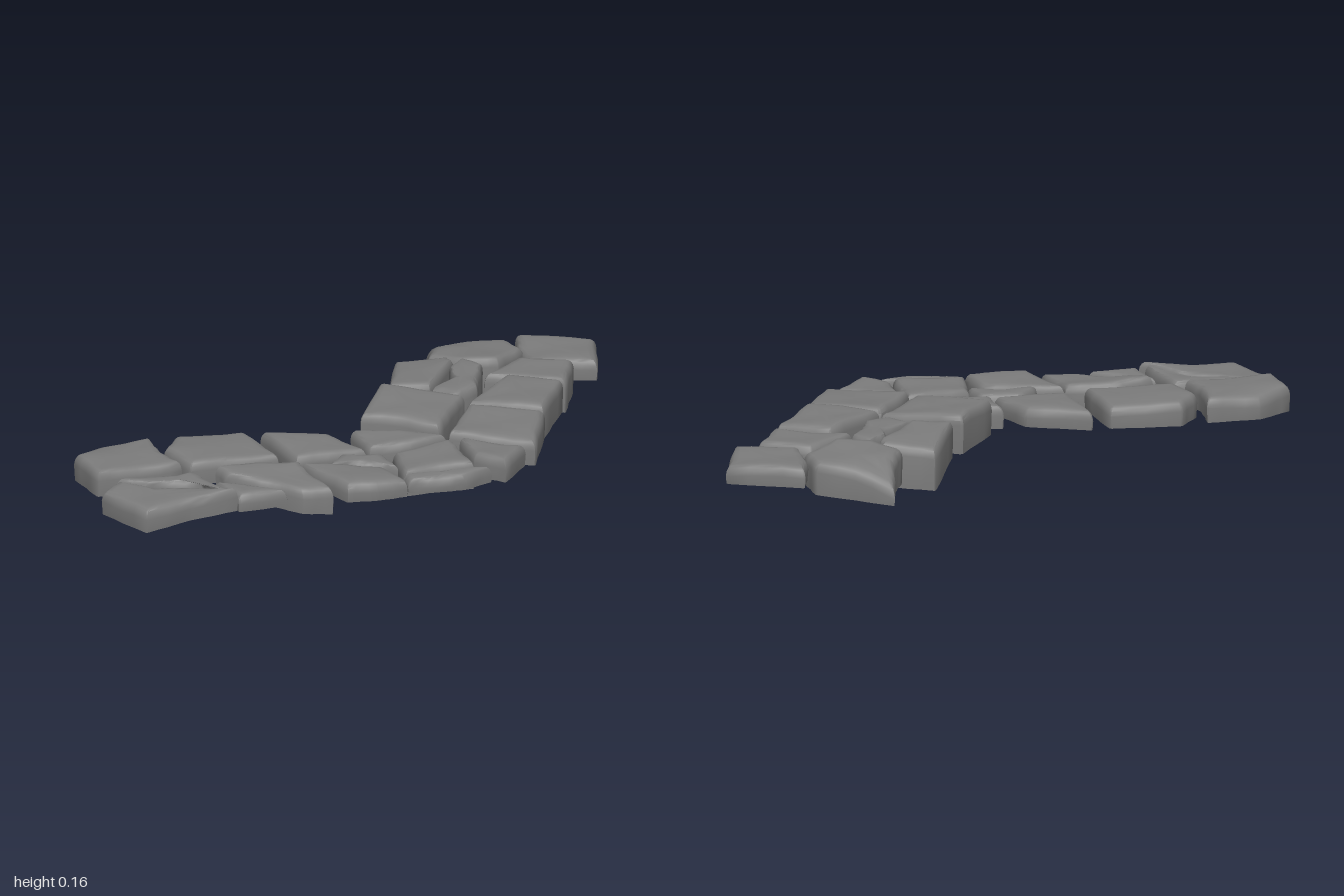
import * as THREE from 'three';
import { toCreasedNormals } from 'three/addons/utils/BufferGeometryUtils.js';

// Plan coordinates are laid out on a fine grid, GRID cells per unit.
const GRID = 187, MID_X = 1134.5, MID_Z = 224;

// Gentle worn unevenness of the upper faces
const bump = (x, z) => 0.003 * Math.sin(17 * x + 5 * z) + 0.002 * Math.sin(31 * z - 12 * x + 1);

// Outline with lightly clipped corners and slightly wavy edges
function outline(plan) {
  const corners = [];
  for (let i = 0; i < plan.length; i += 2) {
    corners.push(new THREE.Vector2((plan[i] - MID_X) / GRID, (plan[i + 1] - MID_Z) / GRID));
  }
  const points = [];
  corners.forEach((a, i) => {
    const b = corners[(i + 1) % corners.length];
    const d = b.clone().sub(a);
    const n = new THREE.Vector2(d.y, -d.x).normalize();
    for (const t of [0.025, 0.28, 0.5, 0.72, 0.975]) {
      const wave = 0.002 * Math.sin(Math.PI * t) * Math.sin(40 * a.x + 9 * t);
      points.push(a.clone().addScaledVector(d, t).addScaledVector(n, wave));
    }
  });
  return points;
}

// Area centroid of the outline
function centroid(points) {
  const c = new THREE.Vector2();
  let area = 0;
  points.forEach((p, i) => {
    const q = points[(i + 1) % points.length], w = p.x * q.y - q.x * p.y;
    area += w;
    c.addScaledVector(p.clone().add(q), w / 3);
  });
  return c.divideScalar(area);
}

// Hollow slab: upright walls, rounded shoulder, worn top, open underneath
function slabGeometry(plan, top, bottom, [topX, topZ, bottomX, bottomZ]) {
  const points = outline(plan), c = centroid(points), n = points.length;
  const topAt = (x, z) => top + bump(x, z) + topX * (x - c.x) + topZ * (z - c.y)
    - 2.3 * Math.max(0, -z - 0.34) ** 2;
  const bottomAt = (x, z) => bottom + bottomX * (x - c.x) + bottomZ * (z - c.y);
  // Each ring: inset from the outline, drop below the top (null = bottom rim)
  const rings = [[0, null], [-0.003, 0.032], [0, 0.018], [0.006, 0.008], [0.014, 0.002], [0.03, 0], [0.07, 0]];
  const pos = [], index = [];
  for (const [inset, drop] of rings) {
    for (const p of points) {
      const k = 1 - Math.min(inset / p.distanceTo(c), 0.6);
      const x = c.x + (p.x - c.x) * k, z = c.y + (p.y - c.y) * k, low = bottomAt(x, z);
      pos.push(x, drop === null ? low : Math.max(low + 0.004, topAt(x, z) - drop), z);
    }
  }
  pos.push(c.x, topAt(c.x, c.y), c.y);
  for (let r = 0; r < rings.length - 1; r++) {
    for (let i = 0; i < n; i++) {
      const j = (i + 1) % n, a = r * n, b = a + n;
      index.push(a + j, a + i, b + i, a + j, b + i, b + j);
    }
  }
  const last = (rings.length - 1) * n;
  for (let i = 0; i < n; i++) index.push(last + (i + 1) % n, last + i, rings.length * n);
  const g = new THREE.BufferGeometry();
  g.setAttribute('position', new THREE.Float32BufferAttribute(pos, 3));
  g.setIndex(index);
  return toCreasedNormals(g, 0.75);
}

export function createModel() {
  const path = new THREE.Group();
  path.name = 'stonePath';
  const material = new THREE.MeshStandardMaterial({ color: 0x7c7c7c, side: THREE.DoubleSide });

  // tilt: slope of the top along x and z, then of the underside along x and z
  const stone = (name, top, bottom, plan, tilt = [0, 0, 0, 0]) => {
    const mesh = new THREE.Mesh(slabGeometry(plan, top, bottom, tilt), material);
    mesh.name = name;
    path.add(mesh);
  };

  // Right arm, back row
  stone('rightBackStone1', 0.14, 0.06, [966, 155, 990, 149, 1019, 159, 1008, 182, 1005, 202, 981, 193, 957, 185]);
  stone('rightBackStone2', 0.13, 0.055, [1015, 176, 1033, 164, 1070, 182, 1058, 225, 1030, 212, 1011, 203]);
  stone('rightBackStone3', 0.115, 0.055, [1080, 184, 1107, 212, 1106, 245, 1085, 237, 1067, 229]);

  // Right arm, front row
  stone('rightEndStone', 0.112, 0.042, [949, 198, 965, 192, 974, 212, 983, 220, 991, 232, 995, 243, 1002, 253, 975, 243, 947, 238],
    [0.08, 0, 0.08, 0]);
  stone('rightSplitStone', 0.118, 0.05, [965, 192, 985, 202, 1007, 211, 1003, 230, 1000, 250, 997, 239, 998, 228, 986, 215, 974, 206]);
  stone('rightSmallStone', 0.108, 0.055, [1007, 228, 1017, 238, 1029, 265, 1002, 255]);
  stone('rightFrontStone1', 0.118, 0.032, [1016, 219, 1040, 224, 1062, 238, 1057, 255, 1052, 278, 1037, 269, 1030, 253, 1022, 238, 1015, 229],
    [0, -0.1, -0.06, -0.06]);
  stone('rightFrontStone2', 0.113, 0.055, [1062, 239, 1080, 254, 1096, 272, 1090, 298, 1073, 292, 1058, 283]);
  stone('rightWedgeStone', 0.11, 0.055, [1090, 240, 1110, 255, 1104, 275, 1096, 265, 1086, 255, 1073, 250]);

  // Bend
  stone('bendBackStone', 0.122, 0.05, [1118, 218, 1140, 236, 1152, 261, 1130, 256, 1108, 245]);
  stone('bendMiddleStone', 0.12, 0.035, [1112, 261, 1150, 267, 1143, 285, 1134, 305, 1116, 296, 1096, 289]);
  stone('bendFrontSliver', 0.11, 0.06, [1096, 288, 1115, 298, 1140, 313, 1120, 313, 1104, 305, 1093, 296]);
  stone('bendFrontStone', 0.128, 0.055, [1153, 271, 1174, 303, 1147, 317, 1141, 297]);

  // Left arm, back row
  stone('leftBackStone1', 0.155, 0.045, [1128, 215, 1167, 187, 1195, 227, 1180, 236, 1152, 255, 1140, 232], [0, -0.06, 0, 0]);
  stone('leftBackStone2', 0.15, 0.024, [1172, 189, 1208, 153, 1231, 173, 1228, 180, 1190, 204], [0, 0.08, -0.05, 0.14]);
  stone('leftSplitStone', 0.148, 0.035, [1189, 206, 1212, 198, 1220, 186, 1235, 180, 1237, 195, 1222, 208, 1210, 221, 1193, 222]);
  stone('leftBackStone3', 0.138, 0.03, [1225, 162, 1239, 149, 1251, 131, 1280, 167, 1275, 186, 1248, 196, 1231, 182], [-0.03, 0.09, 0, 0.08]);

  // Left arm, front row
  stone('leftEndStone', 0.127, 0.065, [1291, 162, 1322, 195, 1295, 227, 1282, 215, 1267, 203, 1277, 180], [-0.03, 0, 0, 0]);
  stone('leftFrontStone3', 0.14, 0.03, [1229, 206, 1264, 195, 1283, 220, 1258, 242, 1244, 222]);
  stone('leftFrontStone2', 0.148, 0.04, [1190, 236, 1237, 216, 1255, 243, 1216, 271, 1202, 255]);
  stone('leftFrontStone1', 0.14, 0.05, [1151, 264, 1188, 238, 1215, 273, 1180, 305, 1165, 285], [0, -0.05, 0, 0]);

  return path;
}
